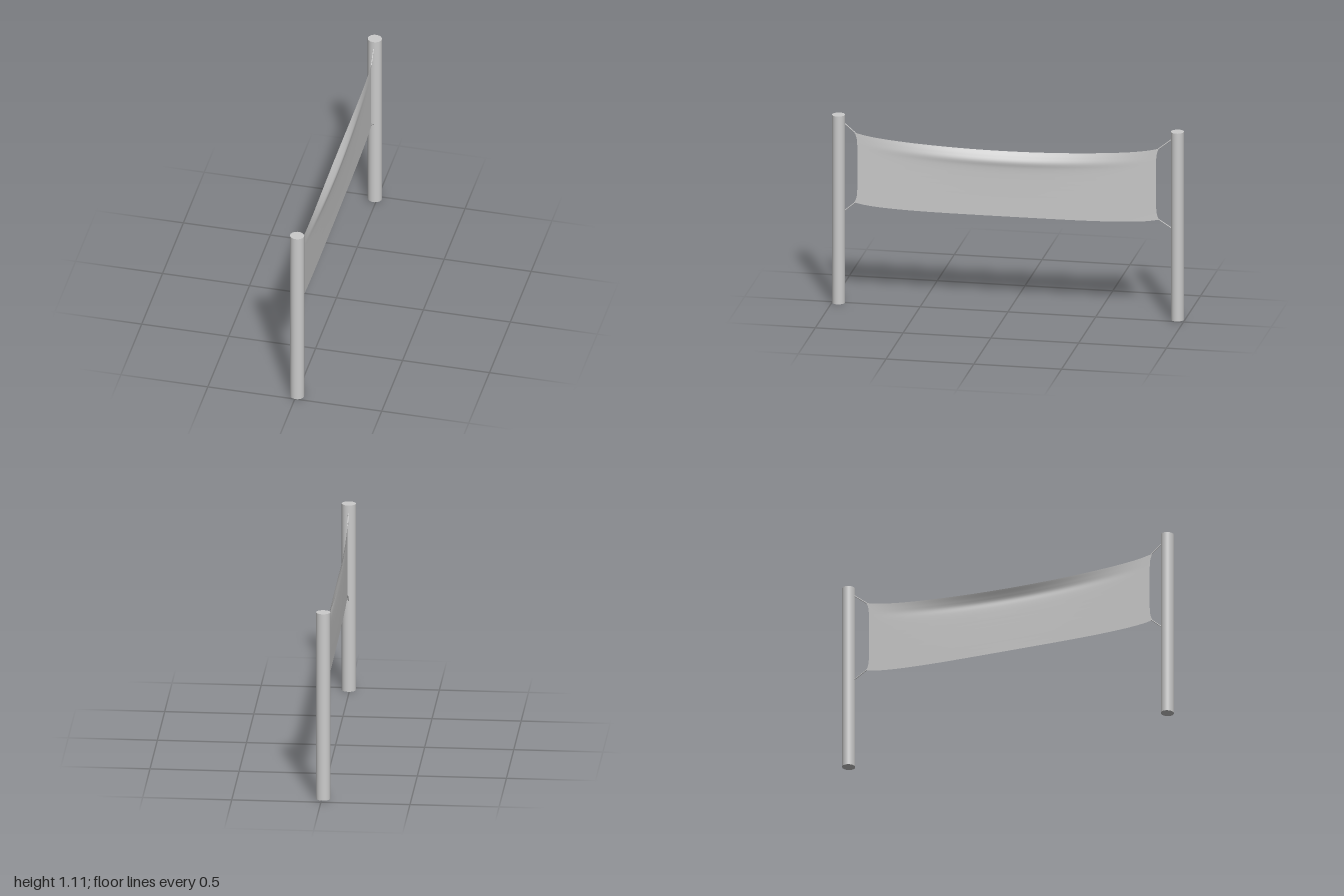
import * as THREE from 'three';

const mat = new THREE.MeshStandardMaterial({ color: 0xcccccc });
const clothMat = new THREE.MeshStandardMaterial({ color: 0xcccccc, side: THREE.DoubleSide });
const V = (x, y, z) => new THREE.Vector3(x, y, z);

// Slightly oval upright pole
function post(name, x, y, z) {
  const mesh = new THREE.Mesh(new THREE.CylinderGeometry(0.04, 0.04, 1.1, 32), mat);
  mesh.scale.z = 0.91;
  mesh.position.set(x, y + 0.55, z);
  mesh.name = name;
  return mesh;
}

// Thin straight cord between two points
function rope(name, a, b) {
  const mesh = new THREE.Mesh(new THREE.TubeGeometry(new THREE.LineCurve3(a, b), 1, 0.003, 8), mat);
  mesh.name = name;
  return mesh;
}

// Sagging cloth: rows run along z, columns run up the height
function banner() {
  const geo = new THREE.PlaneGeometry(2, 1, 64, 40);
  const pos = geo.attributes.position;
  // Sideways bulge at mid-span, from the bottom edge to the folded-back top edge
  const profile = new THREE.SplineCurve([
    [0, 0], [0.3, 0.001], [0.6, 0.003], [0.76, 0.006], [0.85, 0.012], [0.92, 0.002], [1, -0.015],
  ].map(([v, x]) => new THREE.Vector2(v, x)));
  const xs = profile.getPoints(120);
  for (let i = 0; i < pos.count; i++) {
    const t = -pos.getX(i);            // 1 at the front end, -1 at the back end
    const v = pos.getY(i) + 0.5;       // 0 at the bottom, 1 at the top
    const top = 0.936 + 0.054 * t * t + 0.014 * t ** 12 - 0.003 * t;
    const bottom = 0.558 + 0.024 * t ** 4 + 0.009 * t ** 16;
    // Ends pulled out at the corners
    const corner = Math.abs(2 * v - 1) ** 8;
    const half = (t > 0 ? 0.857 : 0.843) + 0.018 * corner;
    const fade = Math.cos(t * Math.PI / 2) ** 1.5 || 0;
    const k = xs.findIndex(p => p.x >= v - 1e-6);
    const bulge = xs[k < 0 ? xs.length - 1 : k].y;
    pos.setXYZ(i, 0.004 * t + bulge * fade, bottom + (top - bottom) * v, t * half);
  }
  geo.computeVertexNormals();
  const mesh = new THREE.Mesh(geo, clothMat);
  mesh.name = 'banner';
  return mesh;
}

export function createModel() {
  const group = new THREE.Group();
  group.name = 'bannerBetweenPosts';
  group.add(
    post('frontPost', 0.005, 0, 0.964),
    post('backPost', -0.01, 0.01, -0.964),
    banner(),
    // Cords tying the four corners to the posts
    rope('frontTopRope', V(0.005, 1.055, 0.935), V(0.004, 0.998, 0.868)),
    rope('frontBottomRope', V(0.005, 0.535, 0.935), V(0.004, 0.592, 0.868)),
    rope('backTopRope', V(-0.01, 1.065, -0.935), V(-0.004, 1.003, -0.855)),
    rope('backBottomRope', V(-0.01, 0.54, -0.935), V(-0.004, 0.593, -0.855)),
  );
  return group;
}
